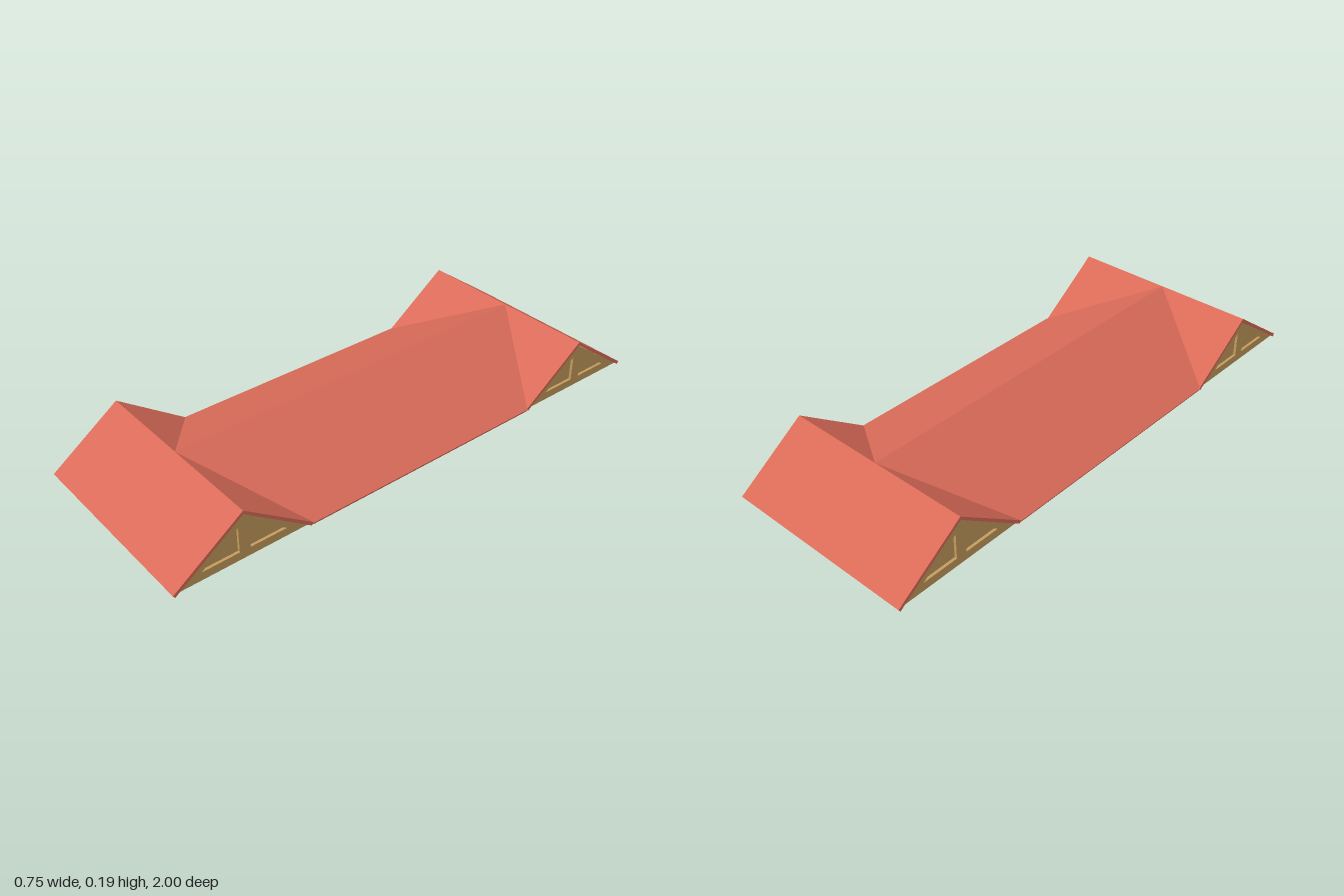
import * as THREE from 'three';

const roofRed = new THREE.MeshStandardMaterial({ color: 0xd96b58 });
roofRed.name = 'roofRed';
const timberTan = new THREE.MeshStandardMaterial({ color: 0xc59c5c });
timberTan.name = 'timberTan';

const TOP = 0.193, EAVE = 0.01, THICK = 0.013; // ridge height, eave height, slab thickness
const HALF_W = 0.372, MAIN_E = 0.375;          // half widths of cross roof and main roof
const RIDGE_Z = 0.742, END_Z = 1, VALLEY_Z = 0.486;

// Flat-sided slab between a top outline and a matching bottom outline
function slab(name, top, bottom) {
  const v = top.map(p => new THREE.Vector3(...p));
  const normal = v[1].clone().sub(v[0]).cross(v[2].clone().sub(v[0]));
  if (normal.y < 0) { top = [...top].reverse(); bottom = [...bottom].reverse(); }
  const n = top.length, pos = [];
  const tri = (a, b, c) => pos.push(...a, ...b, ...c);
  for (let i = 1; i < n - 1; i++) {
    tri(top[0], top[i], top[i + 1]);
    tri(bottom[0], bottom[i + 1], bottom[i]);
  }
  for (let i = 0; i < n; i++) {
    const j = (i + 1) % n;
    tri(top[i], bottom[i], bottom[j]);
    tri(top[i], bottom[j], top[j]);
  }
  const geo = new THREE.BufferGeometry();
  geo.setAttribute('position', new THREE.Float32BufferAttribute(pos, 3));
  geo.computeVertexNormals();
  const mesh = new THREE.Mesh(geo, roofRed);
  mesh.name = name;
  return mesh;
}

function polygon(points) {
  return new THREE.Shape(points.map(p => new THREE.Vector2(...p)));
}

// Triangular end wall with a king-post frame on its +z face
function truss(name, half, inset) {
  const base = 0.01, apex = 0.178, chord = 0.04, post = 0.02;
  const slope = (apex - base) / half;
  const outline = [[-half, base], [half, base], [0, apex]];
  const inner = half - (chord - base) / slope - inset;
  const rise = chord + (inner - post) * slope;

  const frameShape = polygon(outline);
  for (const s of [-1, 1]) {
    frameShape.holes.push(polygon([[s * post, chord], [s * inner, chord], [s * post, rise]]));
  }
  const group = new THREE.Group();
  group.name = name;
  const add = (part, shape, depth, z) => {
    const geo = new THREE.ExtrudeGeometry(shape, { depth, bevelEnabled: false });
    const mesh = new THREE.Mesh(geo, timberTan);
    mesh.name = part;
    mesh.position.z = z;
    group.add(mesh);
  };
  add('backPanel', polygon(outline), 0.005, 0);
  add('trussFrame', frameShape, 0.01, 0.005);
  return group;
}

export function createModel() {
  const model = new THREE.Group();
  model.name = 'roof';
  const low = TOP - THICK;

  // Main roof: two slopes running front to back, tapering to the valleys
  for (const s of [-1, 1]) {
    const outline = (x, ridge, eave) => [
      [0, ridge, RIDGE_Z], [s * x, eave, VALLEY_Z],
      [s * x, eave, -VALLEY_Z], [0, ridge, -RIDGE_Z],
    ];
    model.add(slab(s > 0 ? 'mainSlopeLeft' : 'mainSlopeRight',
      outline(MAIN_E, TOP, EAVE), outline(MAIN_E - 0.005, low, 0)));
  }

  for (const f of [-1, 1]) {
    const end = f > 0 ? 'front' : 'back';

    // Outer slope of the cross roof
    const outer = (z, ridge, eave) => [
      [-HALF_W, ridge, f * RIDGE_Z], [HALF_W, ridge, f * RIDGE_Z],
      [HALF_W, eave, f * z], [-HALF_W, eave, f * z],
    ];
    model.add(slab(end + 'OuterSlope', outer(END_Z, TOP, EAVE), outer(END_Z - 0.007, low, 0)));

    for (const s of [-1, 1]) {
      const side = s > 0 ? 'Left' : 'Right';
      // Inner slope, cut along the valley
      const innerSlope = (z, ridge, eave) => [
        [0, ridge, f * RIDGE_Z], [s * HALF_W, ridge, f * RIDGE_Z], [s * HALF_W, eave, f * z],
      ];
      model.add(slab(end + 'InnerSlope' + side,
        innerSlope(VALLEY_Z, TOP, EAVE), innerSlope(VALLEY_Z + 0.007, low, 0)));

      // Gable end wall facing outwards
      const gable = truss(end + 'Gable' + side, 0.238, 0.04);
      gable.rotation.y = s * Math.PI / 2;
      gable.position.set(s * (HALF_W - 0.018), 0, f * RIDGE_Z);
      model.add(gable);
    }

    // Main roof truss facing the middle
    const mainTruss = truss(end + 'MainTruss', 0.348, 0.055);
    mainTruss.rotation.y = f > 0 ? Math.PI : 0;
    mainTruss.position.z = f * 0.49;
    model.add(mainTruss);
  }
  return model;
}
